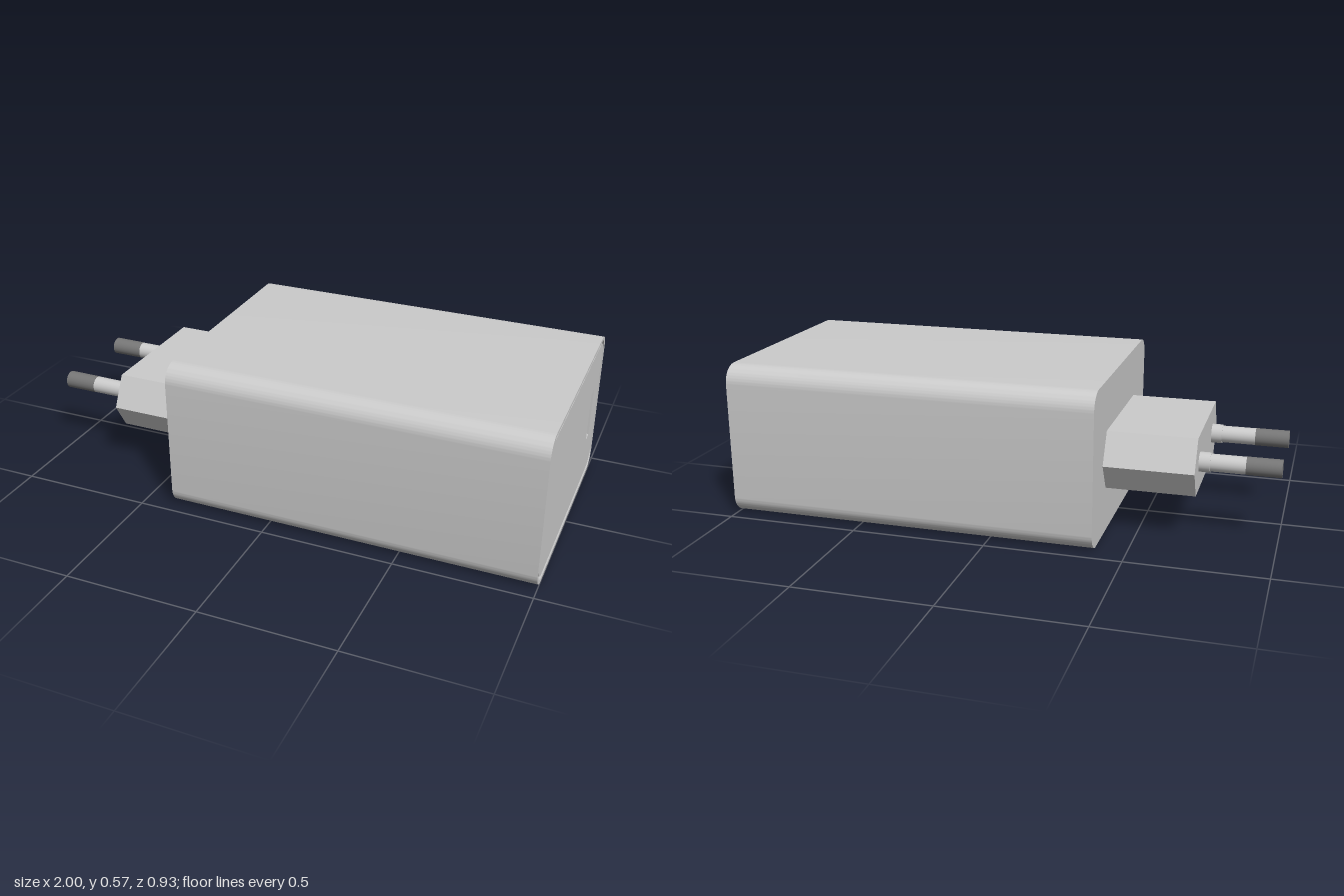
import * as THREE from 'three';
import { toCreasedNormals } from 'three/addons/utils/BufferGeometryUtils.js';

const CY = 0.2875, HALF_W = 0.465, HALF_H = 0.2875, RADIUS = 0.068;

const grey = new THREE.MeshStandardMaterial({ color: 0xcccccc });
const darkMetal = new THREE.MeshStandardMaterial({ color: 0x777777 });
const red = new THREE.MeshStandardMaterial({ color: 0xb01010 });

// Rounded rectangle of the body section, shrunk by an inset
function section(inset, Type = THREE.Shape) {
  const w = HALF_W - inset, h = HALF_H - inset, r = RADIUS - inset * 0.7;
  const s = new Type();
  s.moveTo(w, CY - h + r);
  s.absarc(w - r, CY + h - r, r, 0, Math.PI / 2);
  s.absarc(-w + r, CY + h - r, r, Math.PI / 2, Math.PI);
  s.absarc(-w + r, CY - h + r, r, Math.PI, Math.PI * 1.5);
  s.absarc(w - r, CY - h + r, r, Math.PI * 1.5, Math.PI * 2);
  return s;
}

// Socket opening; section coordinates run along -z
function slot() {
  return new THREE.Path([[0.293, 0.193], [0.34, 0.193], [0.34, 0.385], [0.293, 0.385]]
    .map(([x, y]) => new THREE.Vector2(x, y)));
}

// Extrude a section along x from x0 to x1
function alongX(name, shape, x0, x1, holes = []) {
  shape.holes.push(...holes);
  const raw = new THREE.ExtrudeGeometry(shape, { depth: x1 - x0, bevelEnabled: false, curveSegments: 10 });
  raw.rotateY(Math.PI / 2).translate(x0, 0, 0);
  const mesh = new THREE.Mesh(toCreasedNormals(raw, Math.PI / 6), grey);
  mesh.name = name;
  return mesh;
}

function createPin(z) {
  const pin = new THREE.Group();
  pin.name = 'pin';
  const parts = [
    ['pinCollar', 0.036, -0.75, -0.70, grey],
    ['pinSleeve', 0.032, -0.875, -0.75, grey],
    ['pinTip', 0.033, -1, -0.875, darkMetal],
  ];
  for (const [name, r, x0, x1, material] of parts) {
    const mesh = new THREE.Mesh(new THREE.CylinderGeometry(r, r, x1 - x0, 24), material);
    mesh.name = name;
    mesh.rotation.z = Math.PI / 2;
    mesh.position.set((x0 + x1) / 2, 0.278, z);
    pin.add(mesh);
  }
  return pin;
}

export function createModel() {
  const model = new THREE.Group();
  model.name = 'wallCharger';

  // Housing: outer shell, inner core, and an end panel set off by a narrow groove
  model.add(
    alongX('shell', section(0), -0.385, 1, [section(0.013, THREE.Path)]),
    alongX('core', section(0.013), -0.385, 0.86),
    alongX('socketBlock', section(0.013), 0.86, 0.98, [slot()]),
    alongX('endPanel', section(0.024), 0.98, 0.998, [slot()]),
  );

  // Socket tongue
  const tongue = new THREE.Mesh(new THREE.BoxGeometry(0.13, 0.178, 0.015), red);
  tongue.name = 'socketTongue';
  tongue.position.set(0.925, 0.289, -0.326);
  model.add(tongue);

  // Six-sided plug base
  const hexagon = new THREE.Shape([
    [0.31, 0.27], [0.25, 0.385], [-0.245, 0.385], [-0.305, 0.27], [-0.245, 0.17], [0.25, 0.17],
  ].map(([x, y]) => new THREE.Vector2(x, y)));
  model.add(alongX('plugBase', hexagon, -0.71, -0.38));

  // Plug pins
  for (const z of [-0.18, 0.173]) model.add(createPin(z));
  return model;
}
